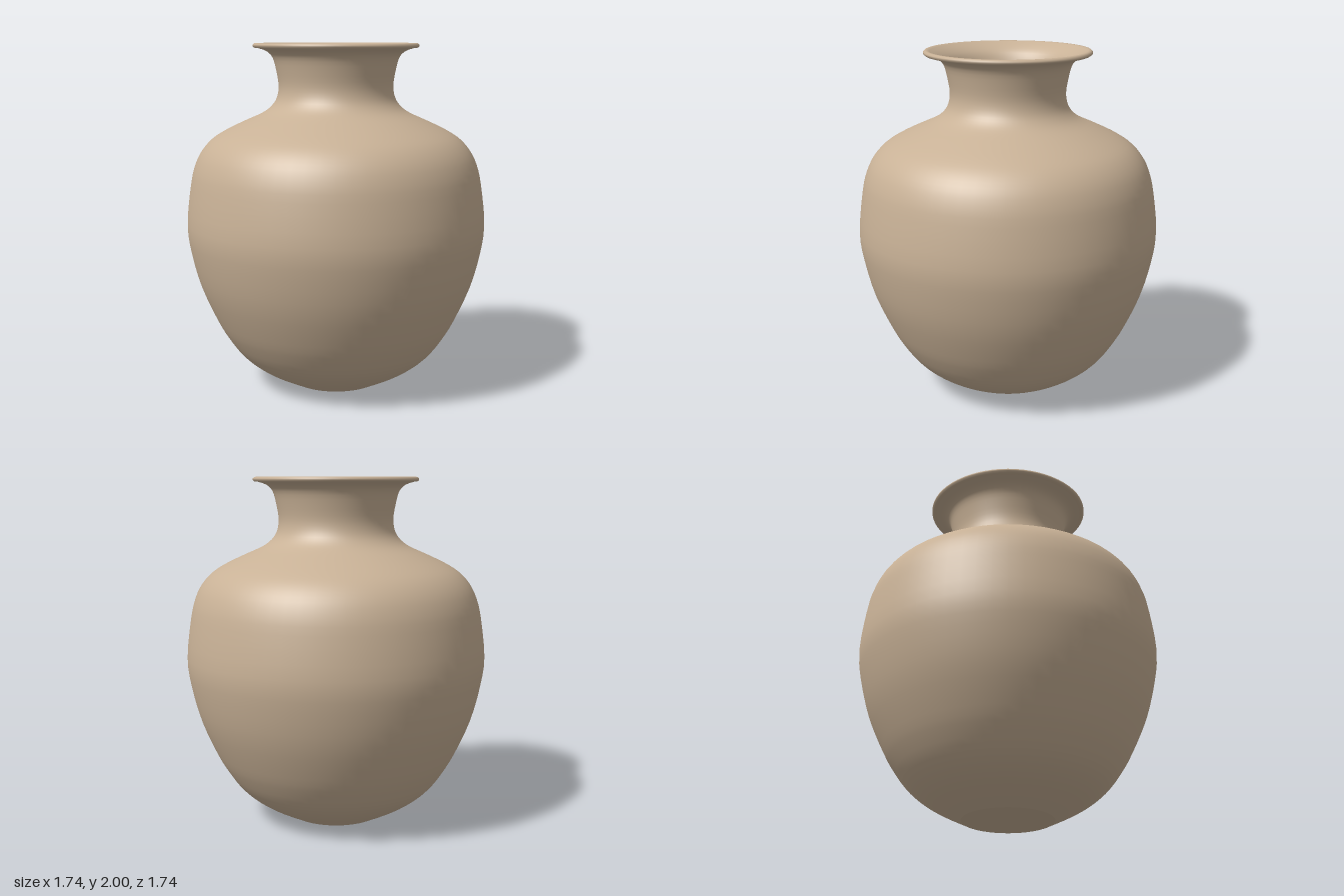
import * as THREE from 'three';

const SEGMENTS = 64;

// Turns [radius, height] pairs into a lathed mesh; steps > 0 smooths the profile
function turned(name, profile, material, steps = 0) {
  let points = profile.map(([r, y]) => new THREE.Vector2(r, y));
  if (steps) points = new THREE.SplineCurve(points).getPoints(steps);
  const mesh = new THREE.Mesh(new THREE.LatheGeometry(points, SEGMENTS), material);
  mesh.name = name;
  return mesh;
}

export function createModel() {
  const vase = new THREE.Group();
  vase.name = 'vase';
  const clay = new THREE.MeshStandardMaterial({ color: 0xc8b196 });
  clay.name = 'tan clay';

  // Flat foot
  vase.add(turned('foot', [[0, 0], [0.26, 0]], clay));

  // Outer wall: belly, shoulder and flared neck
  vase.add(turned('outerWall', [
    [0.26, 0], [0.41, 0.075], [0.51, 0.14], [0.585, 0.21], [0.65, 0.3], [0.71, 0.405],
    [0.795, 0.6], [0.848, 0.8], [0.868, 0.97], [0.842, 1.2], [0.815, 1.31], [0.775, 1.39],
    [0.715, 1.455], [0.635, 1.505], [0.53, 1.555], [0.43, 1.6], [0.375, 1.64],
    [0.342, 1.69], [0.331, 1.76], [0.345, 1.85], [0.365, 1.92], [0.4, 1.955], [0.45, 1.972],
  ], clay, 66));

  // Rounded lip
  vase.add(turned('lip', [
    [0.45, 1.972], [0.467, 1.973], [0.477, 1.981], [0.477, 1.991],
    [0.468, 1.999], [0.455, 2], [0.443, 1.994],
  ], clay));

  // Hollow inside, from the lip down to the floor
  vase.add(turned('innerWall', [
    [0.443, 1.994], [0.4, 1.97], [0.36, 1.935], [0.335, 1.88], [0.315, 1.81], [0.302, 1.75],
    [0.315, 1.67], [0.36, 1.61], [0.43, 1.565], [0.6, 1.485], [0.74, 1.38], [0.81, 1.2],
    [0.838, 0.97], [0.815, 0.78], [0.765, 0.6], [0.68, 0.405], [0.56, 0.23], [0.4, 0.11],
    [0.31, 0.05],
  ], clay, 54));
  vase.add(turned('innerFloor', [[0.31, 0.05], [0, 0.05]], clay));

  return vase;
}
